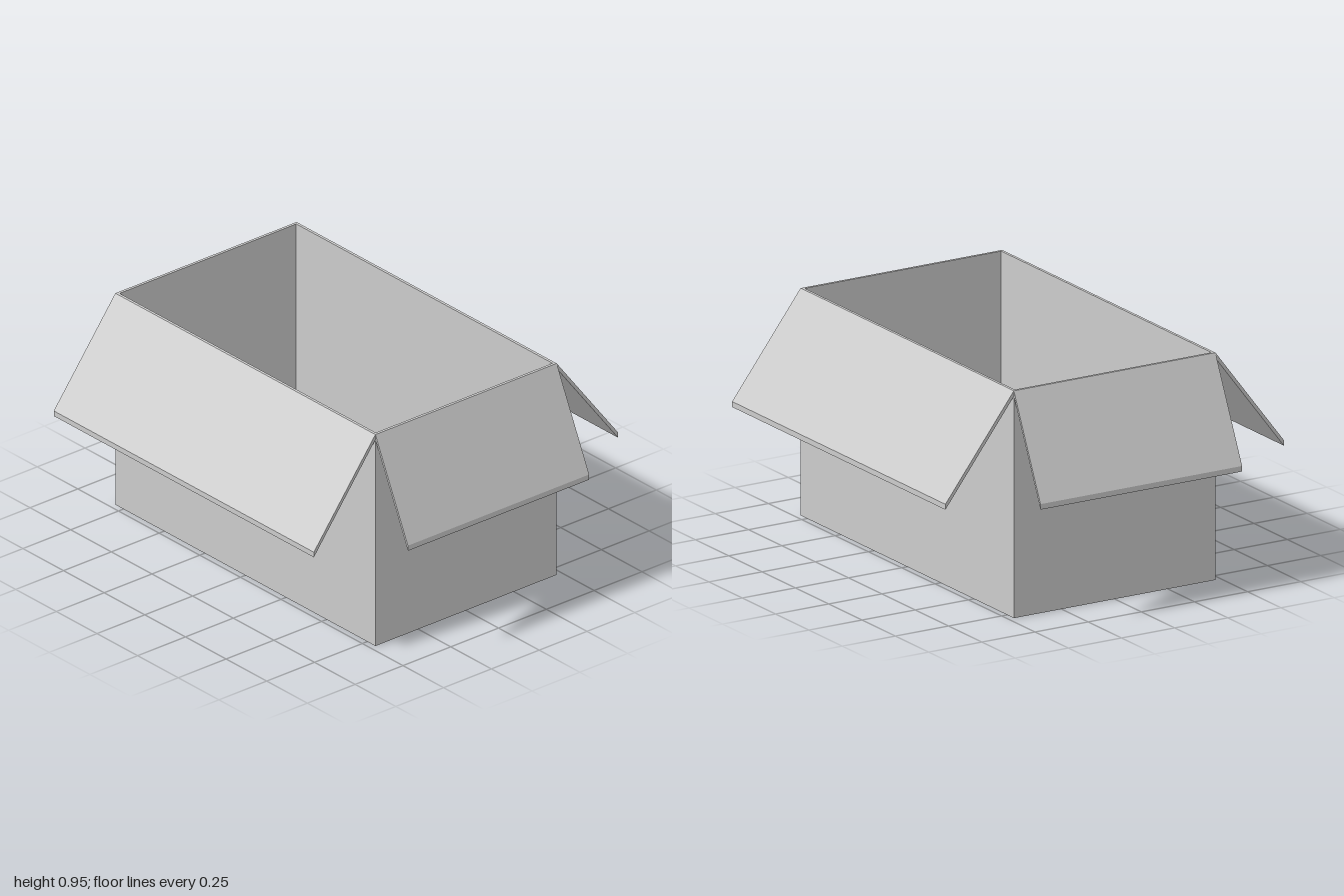
import * as THREE from 'three';

const HX = 0.8, HZ = 0.474, H = 0.95, WALL = 0.012;
const FLAP_T = 0.023, FLAP_END = 0.53;

export function createModel() {
  const model = new THREE.Group();
  const material = new THREE.MeshStandardMaterial({ color: 0xcccccc, flatShading: true });

  const rectangle = (path, x, z) => {
    path.moveTo(-x, -z);
    path.lineTo(x, -z);
    path.lineTo(x, z);
    path.lineTo(-x, z);
    path.closePath();
    return path;
  };

  // Four walls as one upright rectangular tube
  const outline = rectangle(new THREE.Shape(), HX, HZ);
  outline.holes.push(rectangle(new THREE.Path(), HX - WALL, HZ - WALL));
  const wallGeometry = new THREE.ExtrudeGeometry(outline, { depth: H, bevelEnabled: false });
  wallGeometry.rotateX(-Math.PI / 2);
  const walls = new THREE.Mesh(wallGeometry, material);
  walls.name = 'walls';
  model.add(walls);

  // Floor panel inside the walls
  const floor = new THREE.Mesh(
    new THREE.BoxGeometry(2 * (HX - WALL), WALL, 2 * (HZ - WALL)), material);
  floor.position.y = WALL / 2;
  floor.name = 'floor';
  model.add(floor);

  // Sloping flap with upright cut ends, hinged on the rim and turned to its side
  const addFlap = (name, inner, outer, width, angle) => {
    const section = new THREE.Shape([
      new THREE.Vector2(inner, H - FLAP_T),
      new THREE.Vector2(outer, FLAP_END - FLAP_T),
      new THREE.Vector2(outer, FLAP_END),
      new THREE.Vector2(inner, H),
    ]);
    const geometry = new THREE.ExtrudeGeometry(section, { depth: width, bevelEnabled: false });
    geometry.translate(0, 0, -width / 2);
    const flap = new THREE.Mesh(geometry, material);
    flap.rotation.y = angle;
    flap.name = name;
    model.add(flap);
  };

  addFlap('leftFlap', HX, 1, 2 * HZ, 0);
  addFlap('rightFlap', HX, 1, 2 * HZ, Math.PI);
  addFlap('frontFlap', HZ, 0.796, 2 * HX, -Math.PI / 2);
  addFlap('backFlap', HZ, 0.796, 2 * HX, Math.PI / 2);

  return model;
}
